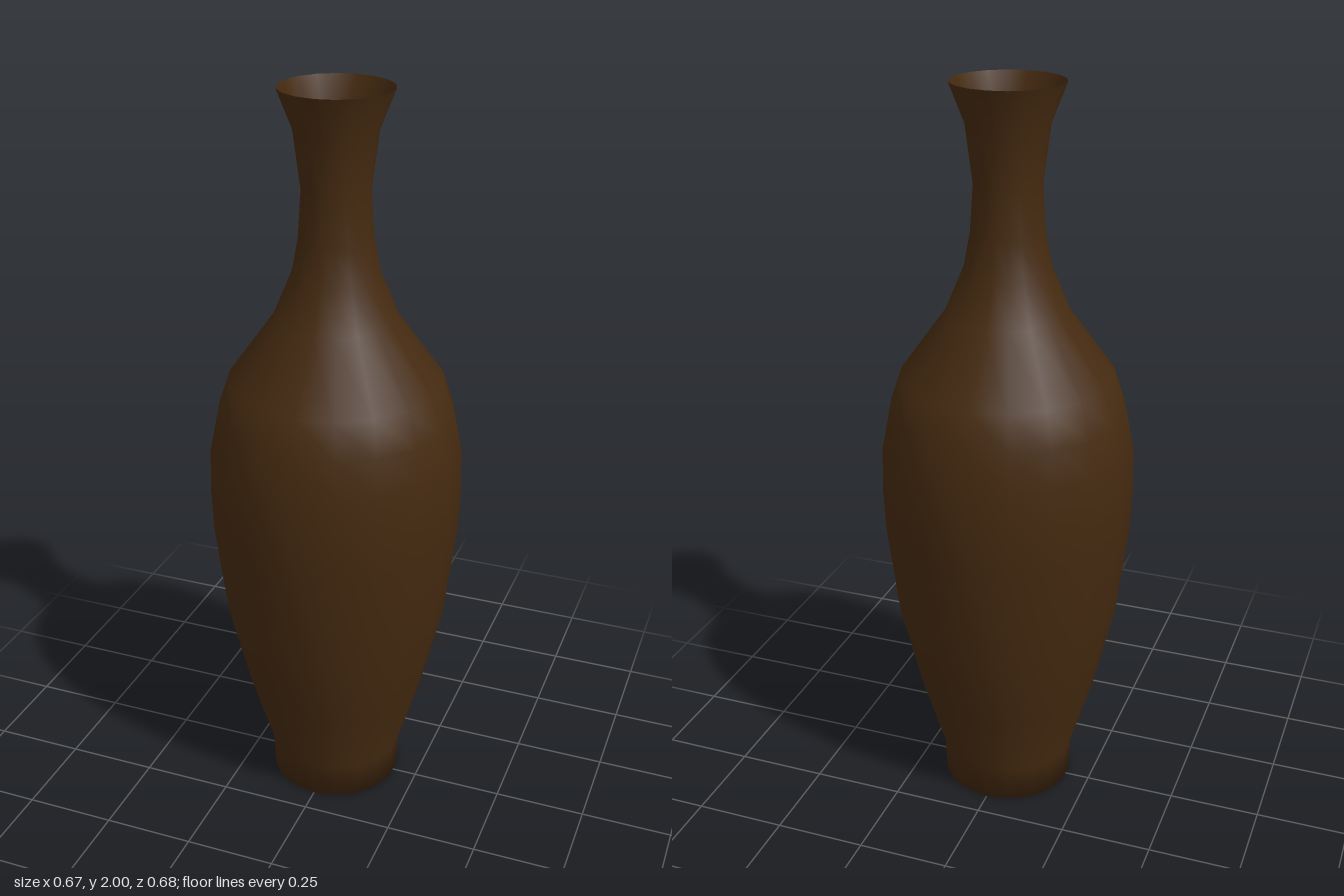
import * as THREE from 'three';

export function createModel() {
  const group = new THREE.Group();
  group.name = 'vase';

  const material = new THREE.MeshStandardMaterial({ color: 0x452a10, side: THREE.DoubleSide });

  // Profile as [radius, height]: closed base, swelling body, narrow neck, flared open lip
  const profile = [
    [0, 0], [0.182, 0], [0.186, 0.1], [0.246, 0.3], [0.305, 0.55],
    [0.337, 0.82], [0.341, 0.93], [0.338, 1.05], [0.318, 1.15], [0.287, 1.24],
    [0.165, 1.41], [0.115, 1.53], [0.098, 1.62], [0.089, 1.75],
    [0.108, 1.9], [0.147, 2],
  ].map(([r, y]) => new THREE.Vector2(r, y));

  // Thin-walled body
  const body = new THREE.Mesh(new THREE.LatheGeometry(profile, 18), material);
  body.name = 'vaseBody';
  group.add(body);

  return group;
}
